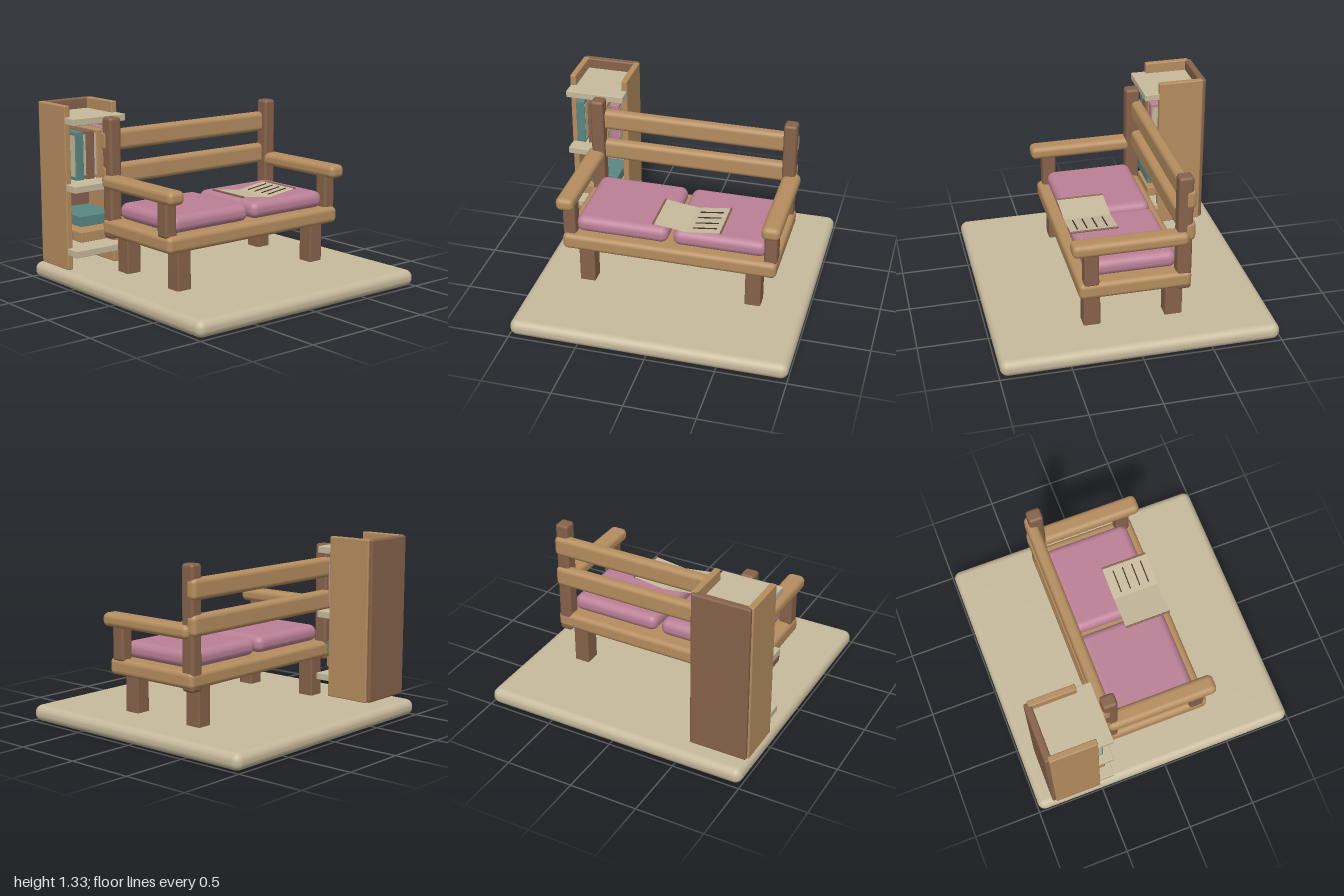
import * as THREE from 'three';
import { RoundedBoxGeometry } from 'three/addons/geometries/RoundedBoxGeometry.js';

function material(name, color, side = THREE.FrontSide) {
  const m = new THREE.MeshStandardMaterial({ color, side });
  m.name = name;
  return m;
}

export function createModel() {
  const model = new THREE.Group();
  model.name = 'readingBench';
  const stone = material('stoneBeige', 0xc6b99c, THREE.DoubleSide);
  const oak = material('oak', 0xb58d5f);
  const walnut = material('walnut', 0x86624a);
  const rose = material('rose', 0xbb8096);
  const teal = material('teal', 0x5b8782);
  const ink = material('ink', 0x40322a);

  // Box from its extents on each axis; r rounds the edges
  function box(name, mat, [x0, x1], [y0, y1], [z0, z1], r = 0, parent = model) {
    const w = x1 - x0, h = y1 - y0, d = z1 - z0;
    const geo = r > 0 ? new RoundedBoxGeometry(w, h, d, 4, r) : new THREE.BoxGeometry(w, h, d);
    const mesh = new THREE.Mesh(geo, mat);
    mesh.name = name;
    mesh.position.set((x0 + x1) / 2, (y0 + y1) / 2, (z0 + z1) / 2);
    parent.add(mesh);
    return mesh;
  }
  const span = (s, a, b) => (s > 0 ? [a, b] : [-b, -a]);

  // Ground slab
  box('groundSlab', stone, [-1, 1], [0, 0.12], [-0.99, 0.99], 0.055);

  // Bench
  const bench = new THREE.Group();
  bench.name = 'bench';
  model.add(bench);
  box('seat', oak, [-0.785, 0.785], [0.4, 0.52], [-0.395, 0.4], 0.035, bench);
  for (const [s, side] of [[1, 'left'], [-1, 'right']]) {
    box(side + 'FrontLeg', walnut, span(s, 0.56, 0.675), [0.1, 0.43], [0.23, 0.35], 0.01, bench);
    box(side + 'BackLeg', walnut, span(s, 0.56, 0.675), [0.1, 0.43], [-0.36, -0.235], 0.01, bench);
    box(side + 'BackPost', walnut, span(s, 0.675, 0.773), [0.38, 1.25], [-0.393, -0.288], 0.022, bench);
    box(side + 'ArmPost', walnut, span(s, 0.69, 0.785), [0.505, 0.78], [0.26, 0.365], 0.018, bench);
    box(side + 'Armrest', oak, span(s, 0.677, 0.81), [0.742, 0.84], [-0.365, 0.445], 0.038, bench);
    box(side + 'Cushion', rose, span(s, 0.018, 0.7), [0.515, 0.638], [-0.31, 0.335], 0.055, bench);
  }
  for (const y of [0.76, 1.005]) {
    box('backSlat', oak, [-0.778, 0.778], [y, y + 0.15], [-0.415, -0.33], 0.035, bench);
  }

  // Open book resting on the cushions: two thin pages in a shallow V
  const openBook = new THREE.Group();
  openBook.name = 'openBook';
  openBook.position.set(0.137, 0.674, 0.2);
  model.add(openBook);
  const tilt = Math.atan2(0.032, 0.245);
  for (const s of [1, -1]) {
    const page = new THREE.Group();
    page.name = s > 0 ? 'leftPage' : 'rightPage';
    page.rotation.z = s * tilt;
    openBook.add(page);
    const sheet = new THREE.Mesh(new THREE.PlaneGeometry(0.247, 0.34), stone);
    sheet.name = 'sheet';
    sheet.rotation.x = -Math.PI / 2;
    sheet.position.x = s * 0.1235;
    page.add(sheet);
    const edge = new THREE.Mesh(new THREE.CylinderGeometry(0.007, 0.007, 0.34, 10), walnut);
    edge.name = 'pageEdge';
    edge.rotation.x = Math.PI / 2;
    edge.position.x = s * 0.246;
    page.add(edge);
    // Ruled lines on one page only
    if (s > 0) {
      for (const z of [-0.1, -0.027, 0.046, 0.115]) {
        box('ruledLine', ink, [0.033, 0.205], [0.001, 0.006], [z - 0.004, z + 0.004], 0, page);
      }
    }
  }

  // Bookcase
  const bookcase = new THREE.Group();
  bookcase.name = 'bookcase';
  model.add(bookcase);
  box('rightSidePanel', oak, [-1, -0.955], [0.145, 1.33], [-0.855, -0.515], 0.008, bookcase);
  box('leftSidePanel', oak, [-0.6, -0.555], [0.145, 1.33], [-0.855, -0.515], 0.008, bookcase);
  box('backPanel', walnut, [-0.988, -0.567], [0.147, 1.328], [-0.882, -0.83], 0.012, bookcase);
  for (const y of [0.255, 0.722, 1.2]) {
    box('shelf', stone, [-0.997, -0.558], [y, y + 0.05], [-0.84, -0.405], 0.004, bookcase);
  }

  // Upright books, each with a page block showing on its broad sides
  [teal, walnut, oak, rose].forEach((mat, i) => {
    const x = -0.912 + i * 0.09;
    box('uprightBook', mat, [x - 0.033, x + 0.033], [0.8, 1.145], [-0.8, -0.465], 0.004, bookcase);
    box('pageBlock', stone, [x - 0.035, x + 0.035], [0.825, 1.12], [-0.79, -0.475], 0, bookcase);
  });
  // Lying books on the lower shelf
  box('lyingBook', oak, [-0.925, -0.625], [0.35, 0.423], [-0.8, -0.45], 0.004, bookcase);
  box('lyingBook', teal, [-0.925, -0.625], [0.465, 0.54], [-0.8, -0.45], 0.004, bookcase);

  return model;
}
